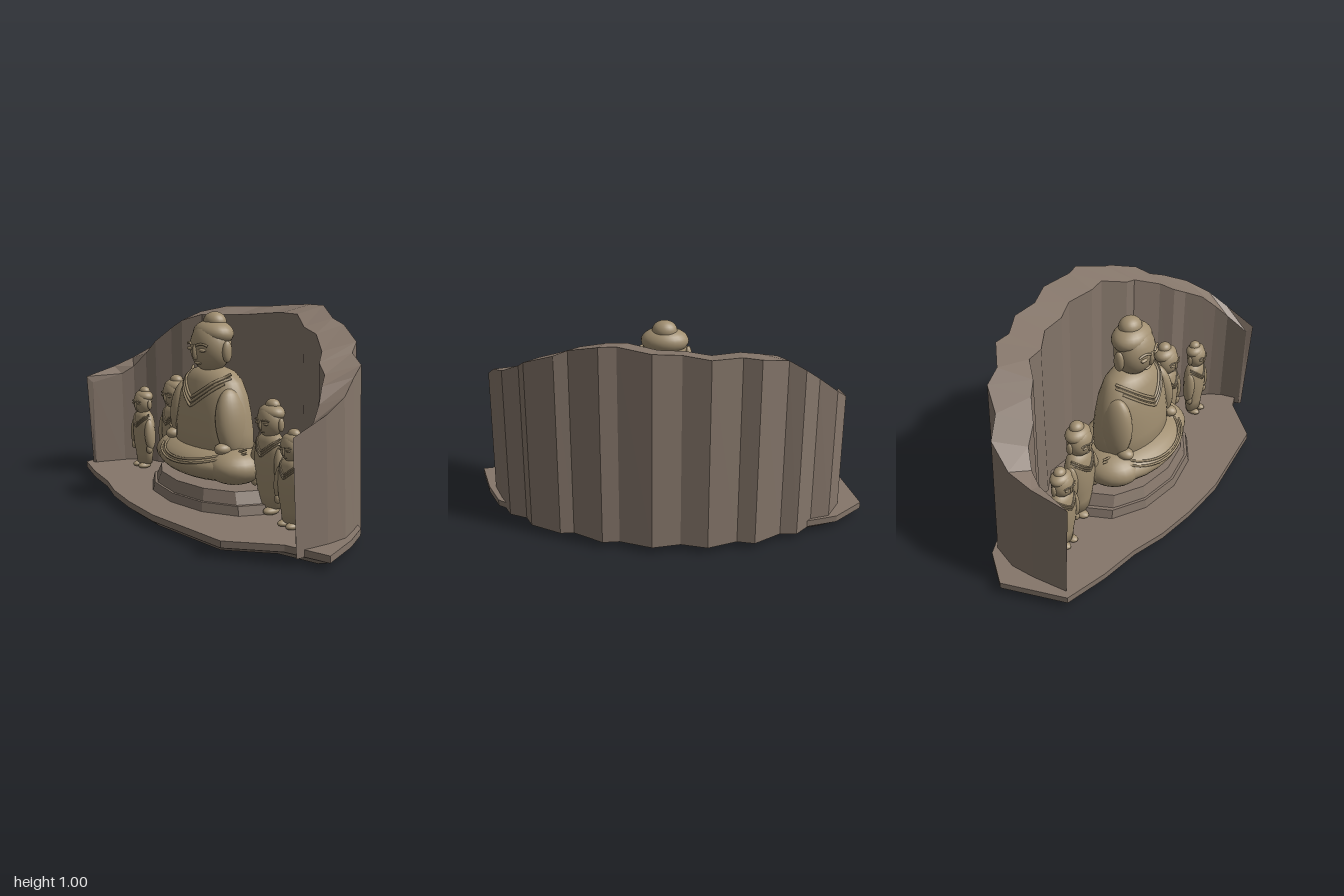
import * as THREE from 'three';

const rock = new THREE.MeshStandardMaterial({ color: 0x85766a, flatShading: true });
rock.name = 'rock';
const stone = new THREE.MeshStandardMaterial({ color: 0xa08e70 });
stone.name = 'carved stone';

function add(parent, name, geometry, material = stone) {
  const mesh = new THREE.Mesh(geometry, material);
  mesh.name = name;
  parent.add(mesh);
  return mesh;
}

function ellipsoid(parent, name, [x, y, z], [rx, ry, rz], tilt = 0) {
  const mesh = add(parent, name, new THREE.SphereGeometry(1, 24, 16));
  mesh.position.set(x, y, z);
  mesh.scale.set(rx, ry, rz);
  mesh.rotation.z = tilt;
  return mesh;
}

// Faceted skin over equal closed rings, with fan caps at both ends
function loft(rings) {
  const out = [];
  const tri = (...ps) => ps.forEach(p => out.push(...p));
  const n = rings[0].length;
  for (let i = 0; i < rings.length - 1; i++) {
    for (let j = 0; j < n; j++) {
      const k = (j + 1) % n, A = rings[i], B = rings[i + 1];
      tri(A[j], A[k], B[k]);
      tri(A[j], B[k], B[j]);
    }
  }
  [rings[0], rings[rings.length - 1]].forEach((r, end) => {
    const c = [0, 1, 2].map(a => r.reduce((s, p) => s + p[a], 0) / n);
    for (let j = 0; j < n; j++) {
      const k = (j + 1) % n;
      if (end) tri(c, r[j], r[k]); else tri(c, r[k], r[j]);
    }
  });
  const g = new THREE.BufferGeometry();
  g.setAttribute('position', new THREE.Float32BufferAttribute(out, 3));
  g.computeVertexNormals();
  return g;
}

// Thin cord following a function of t from -1 to 1
function cord(parent, name, fn, radius, steps = 16) {
  const pts = [];
  for (let i = 0; i <= steps; i++) pts.push(new THREE.Vector3(...fn(i / steps * 2 - 1)));
  return add(parent, name, new THREE.TubeGeometry(new THREE.CatmullRomCurve3(pts), steps * 2, radius, 6));
}

function lathe(profile) {
  return new THREE.LatheGeometry(profile.map(p => new THREE.Vector2(...p)), 32);
}

// Radius of a lathe profile at a height
function radiusAt(profile, y) {
  for (let i = 1; i < profile.length; i++) {
    const [r0, y0] = profile[i - 1], [r1, y1] = profile[i];
    if (y <= y1 && y1 > y0) return r0 + (r1 - r0) * Math.max(0, (y - y0) / (y1 - y0));
  }
  return profile[profile.length - 1][0];
}

// V-shaped neckline folds lying on a flattened lathe body
function neckline(parent, profile, depth, cz, width, low, rise, gap, radius) {
  for (let f = 0; f < 3; f++) {
    cord(parent, 'necklineFold', t => {
      const x = width * t, y = low + f * gap + rise * Math.abs(t) ** 1.2;
      const r = radiusAt(profile, y);
      return [x, y, cz + depth * Math.sqrt(Math.max(0.02 * r * r, r * r - x * x))];
    }, radius);
  }
}

function makeHead() {
  const head = new THREE.Group();
  head.name = 'head';
  ellipsoid(head, 'face', [0, 0, 0], [0.113, 0.125, 0.097]);
  ellipsoid(head, 'hair', [0, 0.065, -0.016], [0.117, 0.065, 0.09]);
  ellipsoid(head, 'topknot', [0, 0.118, -0.025], [0.062, 0.05, 0.055]);
  ellipsoid(head, 'nose', [0, -0.02, 0.09], [0.014, 0.04, 0.018]);
  ellipsoid(head, 'mouth', [0, -0.075, 0.077], [0.03, 0.007, 0.01]);
  for (const s of [-1, 1]) {
    ellipsoid(head, 'ear', [s * 0.115, -0.015, -0.015], [0.018, 0.053, 0.027]);
    cord(head, 'brow', t => [s * 0.05 + 0.033 * t, 0.022 - 0.01 * t * t, 0.089 - 0.012 * s * t], 0.006, 8);
    ellipsoid(head, 'eyelid', [s * 0.047, -0.008, 0.085], [0.028, 0.009, 0.012]);
  }
  return head;
}

function makeSeatedFigure() {
  const g = new THREE.Group();
  g.name = 'seatedFigure';
  const profile = [[0.22, 0.26], [0.25, 0.34], [0.25, 0.41], [0.235, 0.5], [0.215, 0.58],
    [0.18, 0.65], [0.135, 0.69], [0.07, 0.71], [0, 0.715]];
  const torso = add(g, 'torso', lathe(profile));
  torso.scale.z = 0.62;
  torso.position.z = 0.05;
  ellipsoid(g, 'crossedLegs', [0, 0.26, 0.05], [0.36, 0.1, 0.24]);
  for (const s of [-1, 1]) {
    ellipsoid(g, 'arm', [s * 0.195, 0.47, 0.09], [0.055, 0.16, 0.085], s * 0.12);
    ellipsoid(g, 'hand', [s * 0.21, 0.35, 0.15], [0.035, 0.028, 0.045]);
    ellipsoid(g, 'knee', [s * 0.22, 0.26, 0.08], [0.135, 0.088, 0.15]);
  }
  neckline(g, profile, 0.62, 0.052, 0.16, 0.53, 0.12, 0.022, 0.007);
  // Robe hems draped over the legs
  for (let f = 0; f < 2; f++) {
    cord(g, 'robeHem', t => {
      const x = 0.33 * t, y = 0.272 + f * 0.018 + 0.075 * t * t;
      return [x, y, 0.055 + 0.24 * Math.sqrt(Math.max(0.03, 1 - (x / 0.36) ** 2 - ((y - 0.26) / 0.1) ** 2))];
    }, 0.006);
  }
  const head = makeHead();
  head.position.set(0, 0.81, 0.07);
  g.add(head);
  return g;
}

function makeStandingFigure() {
  const g = new THREE.Group();
  g.name = 'standingFigure';
  const profile = [[0, 0.02], [0.055, 0.025], [0.063, 0.08], [0.075, 0.13], [0.082, 0.19],
    [0.08, 0.25], [0.068, 0.29], [0.045, 0.315], [0, 0.325]];
  const robe = add(g, 'robe', lathe(profile));
  robe.scale.z = 0.62;
  for (const s of [-1, 1]) {
    ellipsoid(g, 'arm', [s * 0.074, 0.195, 0.008], [0.024, 0.085, 0.032], s * 0.1);
    ellipsoid(g, 'hand', [s * 0.078, 0.115, 0.016], [0.016, 0.024, 0.018]);
    ellipsoid(g, 'foot', [s * 0.028, 0.015, 0.018], [0.024, 0.016, 0.038]);
  }
  neckline(g, profile, 0.62, 0.002, 0.065, 0.232, 0.055, 0.01, 0.0035);
  const head = makeHead();
  head.scale.setScalar(0.51);
  head.position.set(0, 0.366, 0.006);
  g.add(head);
  return g;
}

export function createModel() {
  const model = new THREE.Group();
  model.name = 'rockGrotto';

  // Ground slab with an undercut lower edge
  const outline = [[-1, -0.02], [-0.91, 0.29], [-0.7, 0.35], [-0.5, 0.385], [-0.33, 0.44], [-0.12, 0.475],
    [0.12, 0.49], [0.59, 0.44], [0.79, 0.25], [1, 0.18], [0.915, -0.02], [0.83, -0.16], [0.68, -0.24],
    [0.45, -0.31], [0, -0.34], [-0.45, -0.32], [-0.68, -0.25], [-0.87, -0.17]];
  const level = (y, s) => outline.map(([x, z]) => [x * s, y, z * s]);
  add(model, 'groundSlab', loft([level(0, 0.91), level(0.03, 0.985), level(0.034, 1), level(0.066, 1)]), rock);

  // Cliff stations: outer x, outer z, height, inner x, inner z
  const stations = [
    [-0.88, 0.26, 0.56, -0.865, 0.25], [-0.89, 0.08, 0.6, -0.82, 0.09], [-0.885, -0.04, 0.64, -0.79, 0.03],
    [-0.83, -0.17, 0.715, -0.74, -0.02], [-0.74, -0.21, 0.79, -0.67, -0.04], [-0.67, -0.305, 0.865, -0.6, -0.1],
    [-0.59, -0.31, 0.91, -0.54, -0.13], [-0.47, -0.41, 0.945, -0.46, -0.21], [-0.385, -0.4, 0.95, -0.37, -0.21],
    [-0.25, -0.47, 0.957, -0.24, -0.285], [-0.12, -0.45, 0.97, -0.12, -0.275], [0.01, -0.492, 0.985, 0, -0.315],
    [0.17, -0.45, 1, 0.14, -0.275], [0.25, -0.465, 1, 0.24, -0.285], [0.4, -0.39, 0.955, 0.37, -0.215],
    [0.465, -0.4, 0.93, 0.45, -0.22], [0.62, -0.335, 0.87, 0.58, -0.14], [0.66, -0.27, 0.83, 0.63, -0.08],
    [0.75, -0.24, 0.79, 0.7, -0.05], [0.82, -0.13, 0.755, 0.76, 0.02], [0.88, -0.02, 0.69, 0.81, 0.08],
    [0.89, 0.09, 0.63, 0.845, 0.14], [0.88, 0.26, 0.555, 0.865, 0.25],
  ];
  add(model, 'cliffWall', loft(stations.map(([xo, zo, h, xi, zi]) => [
    [xo, 0.032, zo], [xo, h, zo + 0.03], [xi, h - 0.035, zi + 0.01], [xi, 0.032, zi],
  ])), rock);

  // Two-tier pedestal
  const tier = (name, rTop, rBottom, y0, y1) => {
    const mesh = add(model, name, new THREE.CylinderGeometry(rTop, rBottom, y1 - y0, 12), rock);
    mesh.position.set(0, (y0 + y1) / 2, 0.045);
    mesh.scale.z = 0.62;
  };
  tier('pedestalBase', 0.42, 0.435, 0.06, 0.11);
  tier('pedestalTop', 0.37, 0.4, 0.11, 0.167);

  // Central figure and mirrored attendants
  model.add(makeSeatedFigure());
  for (const s of [-1, 1]) {
    for (const [x, z, size] of [[0.405, 0.015, 1.2], [0.63, 0.075, 1]]) {
      const figure = makeStandingFigure();
      figure.position.set(s * x, 0.066, z);
      figure.scale.setScalar(size);
      model.add(figure);
    }
  }
  return model;
}
